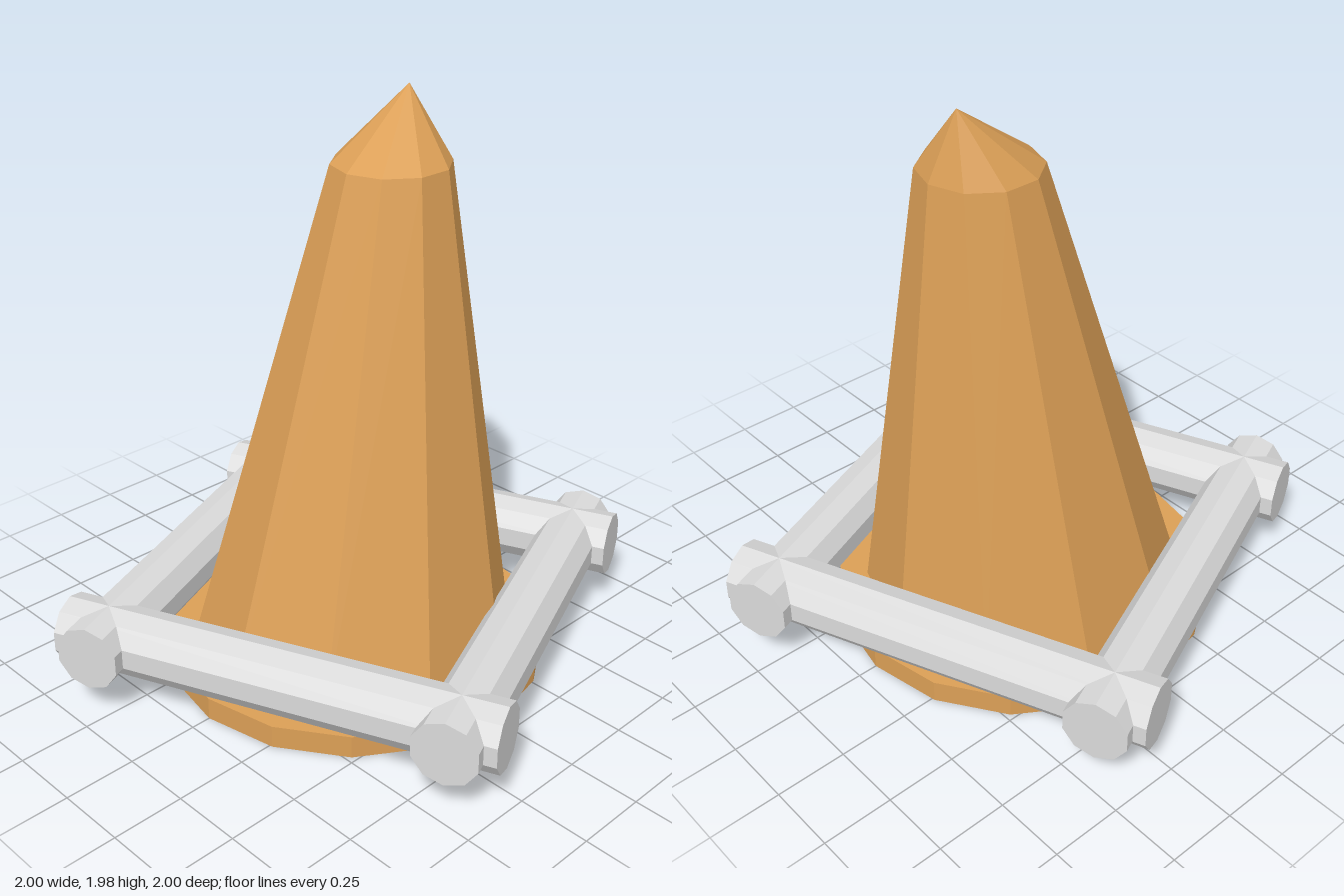
import * as THREE from 'three';

const clay = new THREE.MeshStandardMaterial({ color: 0xdb9f56, flatShading: true });
clay.name = 'orange clay';
const steel = new THREE.MeshStandardMaterial({ color: 0xdadada, flatShading: true });
steel.name = 'light grey';

// Ten-sided frustum between two heights, leaning from one ring centre to another
function leaningFrustum(name, bottom, top) {
  const height = top.y - bottom.y;
  const geo = new THREE.CylinderGeometry(top.r, bottom.r, height, 10, 1, true, Math.PI / 2);
  const pos = geo.attributes.position;
  for (let i = 0; i < pos.count; i++) {
    const t = pos.getY(i) / height + 0.5;
    pos.setXYZ(
      i,
      pos.getX(i) + THREE.MathUtils.lerp(bottom.x, top.x, t),
      bottom.y + t * height,
      pos.getZ(i) + THREE.MathUtils.lerp(bottom.z, top.z, t)
    );
  }
  geo.computeVertexNormals();
  const mesh = new THREE.Mesh(geo, clay);
  mesh.name = name;
  return mesh;
}

export function createModel() {
  const model = new THREE.Group();
  model.name = 'fencedSpire';

  // Round plinth
  const base = new THREE.Mesh(new THREE.CylinderGeometry(0.68, 0.68, 0.08, 16), clay);
  base.name = 'base';
  base.position.y = 0.04;
  model.add(base);

  // Leaning spire with an off-centre tip
  const foot = { x: 0, y: 0.08, z: 0, r: 0.57 };
  const shoulder = { x: 0.17, y: 1.75, z: 0, r: 0.203 };
  const apex = { x: 0.29, y: 1.98, z: -0.04, r: 0 };
  model.add(leaningFrustum('spire', foot, shoulder));
  model.add(leaningFrustum('spireTip', shoulder, apex));

  // Square frame of four crossing bars
  const frame = new THREE.Group();
  frame.name = 'frame';
  const barGeo = new THREE.CylinderGeometry(0.115, 0.115, 1.556, 10, 1, false, Math.PI / 2);
  barGeo.rotateZ(Math.PI / 2).translate(0, 0.235, 0.625);
  for (let i = 0; i < 4; i++) {
    const bar = new THREE.Mesh(barGeo, steel);
    bar.name = 'frameBar';
    bar.rotation.y = Math.PI / 8 + (i * Math.PI) / 2;
    frame.add(bar);
  }
  model.add(frame);

  return model;
}
